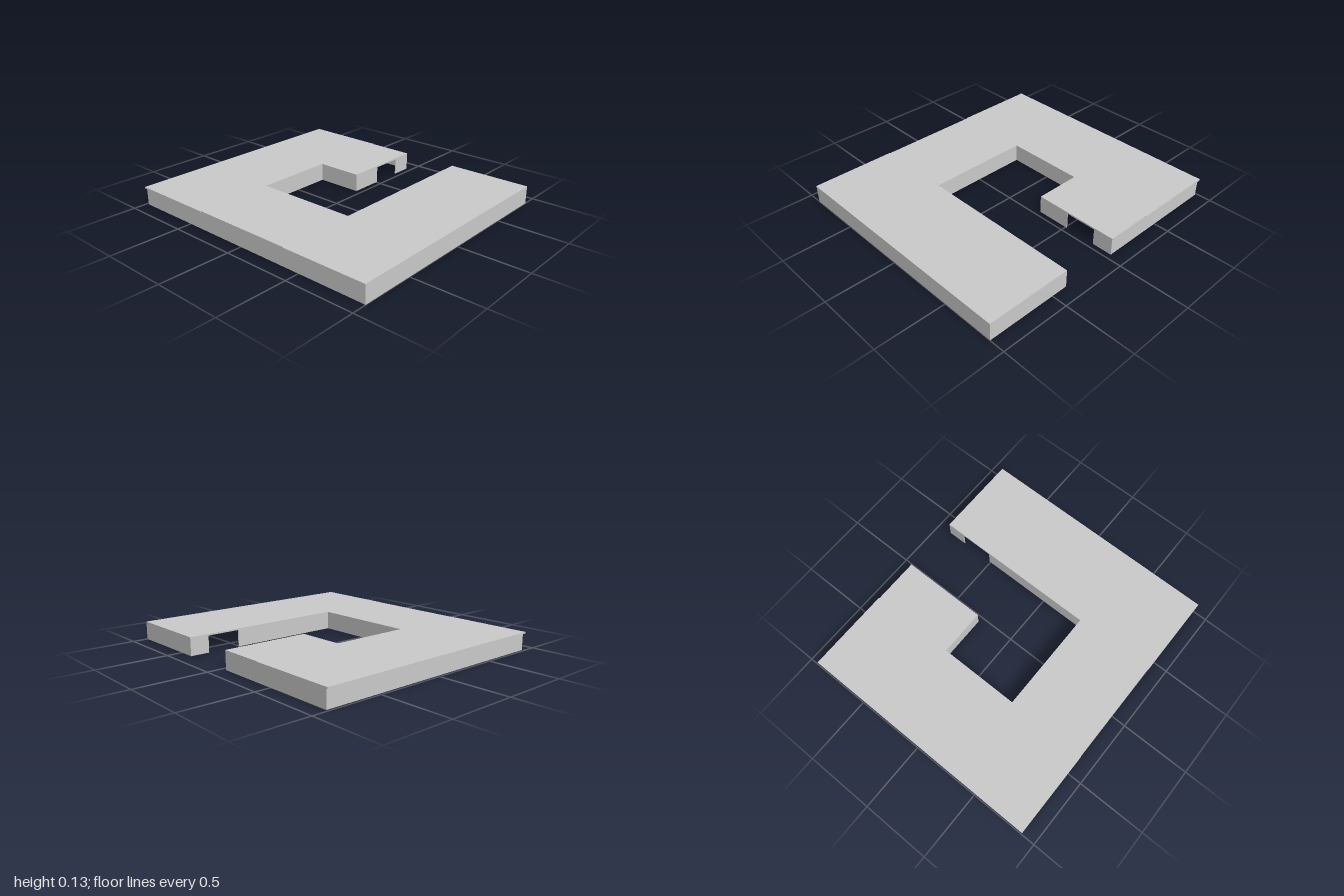
import * as THREE from 'three';

const ROOF_BOTTOM = 0.119, ROOF_TOP = 0.13, T = 0.005;

export function createModel() {
  const group = new THREE.Group();
  const material = new THREE.MeshStandardMaterial({ color: 0xcccccc, flatShading: true });

  // C-shaped flat roof, outline in (x, z)
  const outline = [
    [-0.9, -1], [0.895, -1], [0.895, -0.38], [0.89, -0.38], [0.89, -0.04], [0.265, -0.04],
    [0.265, -0.38], [-0.32, -0.38], [-0.32, 0.38], [0.89, 0.38], [0.89, 1],
    [-0.9, 1], [-0.9, 0.38], [-0.895, 0.38], [-0.895, -0.38], [-0.9, -0.38],
  ];
  const shape = new THREE.Shape(outline.map(([x, z]) => new THREE.Vector2(x, -z)));
  const roofGeometry = new THREE.ExtrudeGeometry(shape, { depth: ROOF_TOP - ROOF_BOTTOM, bevelEnabled: false });
  roofGeometry.rotateX(-Math.PI / 2).translate(0, ROOF_BOTTOM, 0);
  const roof = new THREE.Mesh(roofGeometry, material);
  roof.name = 'roof';
  group.add(roof);

  // Thin upright panels running along x or along z
  function panel(name, x0, x1, z0, z1) {
    const mesh = new THREE.Mesh(new THREE.BoxGeometry(x1 - x0, ROOF_BOTTOM, z1 - z0), material);
    mesh.position.set((x0 + x1) / 2, ROOF_BOTTOM / 2, (z0 + z1) / 2);
    mesh.name = name;
    group.add(mesh);
  }
  const alongX = (name, z, spans) => spans.forEach(([a, b]) => panel(name, a, b, z - T / 2, z + T / 2));
  const alongZ = (name, x, spans) => spans.forEach(([a, b]) => panel(name, x - T / 2, x + T / 2, a, b));

  // Outer walls
  alongX('frontWall', 0.997, [[-0.897, 0.89]]);
  alongX('backWall', -0.982, [[-0.893, 0.888]]);
  alongZ('rightWall', -0.892, [[-0.982, 0.997]]);
  alongZ('backArmEndWall', 0.887, [[-0.982, -0.04]]);
  alongZ('frontArmEndWall', 0.887, [[0.38, 0.997]]);

  // Courtyard walls, with doorways left as gaps
  alongX('backArmDoorWall', -0.043, [[0.265, 0.51], [0.74, 0.888]]);
  alongX('courtBackWall', -0.383, [[-0.32, 0.267]]);
  alongZ('courtSideWall', -0.323, [[-0.38, 0.38]]);
  alongX('courtFrontWall', 0.383, [[-0.32, 0.51], [0.75, 0.888]]);

  // Inner partitions with doorways
  alongZ('backArmPartition', 0.268, [[-0.982, -0.83], [-0.55, -0.04]]);
  alongZ('backRoomPartition', -0.323, [[-0.982, -0.84], [-0.56, -0.38]]);
  alongX('sideRoomPartition', 0.383, [[-0.892, -0.72], [-0.49, -0.32]]);
  alongZ('frontRoomPartition', 0.01, [[0.383, 0.61], [0.81, 0.997]]);

  return group;
}
